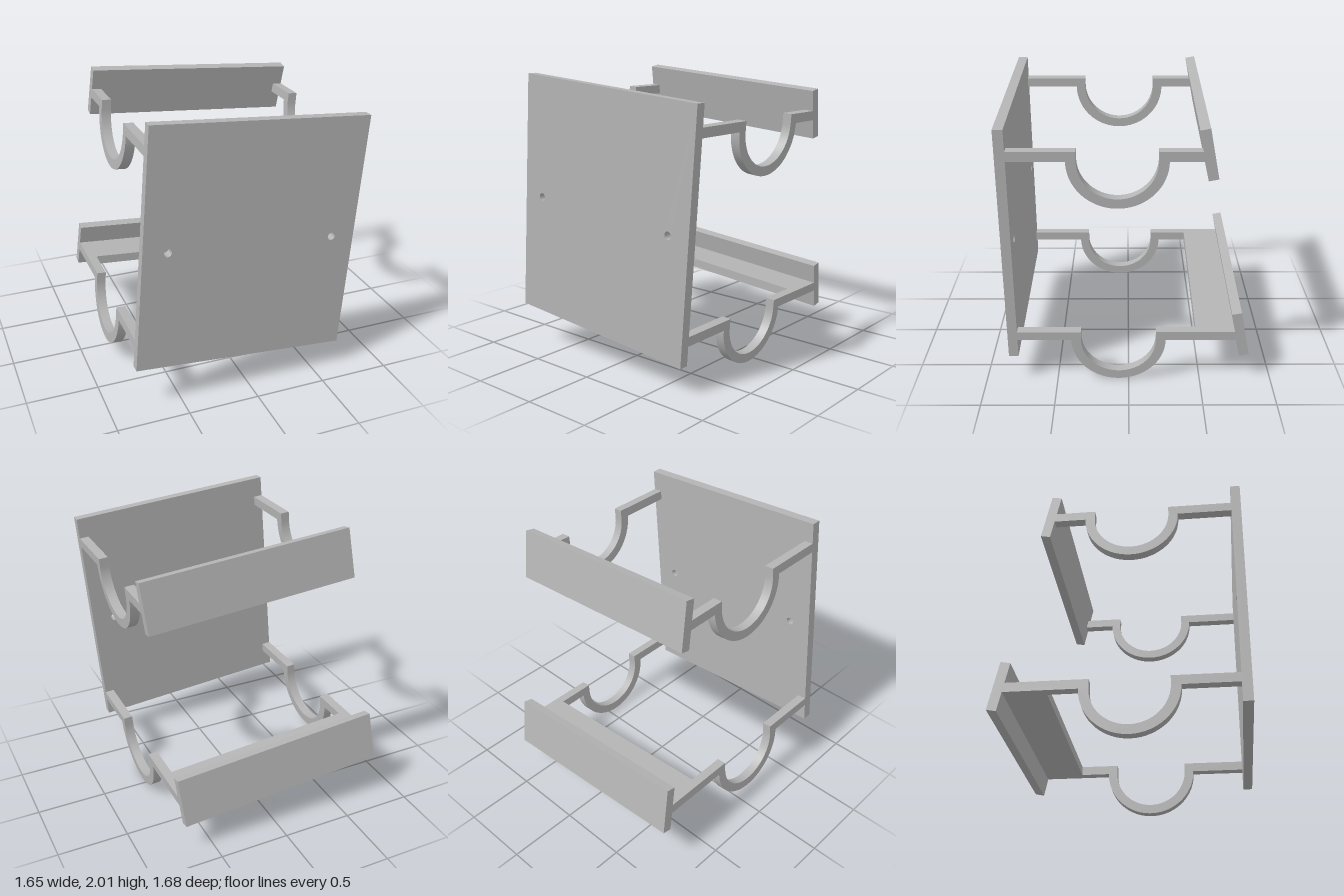
import * as THREE from 'three';
import { toCreasedNormals } from 'three/addons/utils/BufferGeometryUtils.js';

const HALF_W = 0.7525, HALF_H = 0.8475; // front panel half size
const ARM_W = 0.066, ARM_T = 0.066;     // arm width and thickness
const ARC_Z = 0.07, R_IN = 0.26, R_OUT = 0.326;

export function createModel() {
  const grey = new THREE.MeshStandardMaterial({ color: 0xb4b4b4 });
  grey.name = 'plain grey';

  const model = new THREE.Group();
  model.name = 'cradleRack';
  // the whole rack leans a little to one side
  const rack = new THREE.Group();
  rack.name = 'leaningRack';
  rack.position.set(0.005, 1.096, 0);
  rack.rotation.z = -Math.atan2(0.118, 1.5);
  model.add(rack);

  const add = (name, geometry) => {
    const mesh = new THREE.Mesh(geometry, grey);
    mesh.name = name;
    rack.add(mesh);
    return mesh;
  };

  // extrudes a side profile drawn as (z, y) from x0 to x1
  const sideExtrude = (shape, x0, x1) => {
    const g = new THREE.ExtrudeGeometry(shape, { depth: x1 - x0, bevelEnabled: false, curveSegments: 40 });
    g.rotateY(-Math.PI / 2);
    g.translate(x1, 0, 0);
    return toCreasedNormals(g, 0.5);
  };

  // front panel with two screw holes
  const panel = new THREE.Shape([
    new THREE.Vector2(-HALF_W, -HALF_H), new THREE.Vector2(HALF_W, -HALF_H),
    new THREE.Vector2(HALF_W, HALF_H), new THREE.Vector2(-HALF_W, HALF_H),
  ]);
  for (const s of [-1, 1]) {
    panel.holes.push(new THREE.Path().absarc(s * 0.584, 0, 0.027, 0, Math.PI * 2, true));
  }
  const panelGeo = new THREE.ExtrudeGeometry(panel, { depth: 0.067, bevelEnabled: false, curveSegments: 24 });
  panelGeo.translate(0, 0, 0.77);
  add('frontPanel', toCreasedNormals(panelGeo, 0.5));

  // arm profile: straight, half-round cradle, straight
  const armShape = (top, end) => {
    const low = top - ARM_T;
    const s = new THREE.Shape();
    s.moveTo(0.772, top);
    s.lineTo(ARC_Z + R_IN, top);
    s.lineTo(ARC_Z + R_IN, low);
    s.absarc(ARC_Z, low, R_IN, 0, -Math.PI, true);
    s.lineTo(ARC_Z - R_IN, top);
    s.lineTo(end, top);
    s.lineTo(end, low);
    s.lineTo(ARC_Z - R_OUT, low);
    s.absarc(ARC_Z, low, R_OUT, Math.PI, Math.PI * 2, false);
    s.lineTo(0.772, low);
    s.closePath();
    return s;
  };

  // tilted board profile, given by its front top corner
  const boardShape = (z, y) => new THREE.Shape([
    [0, 0], [-0.066, 0.013], [-0.132, -0.329], [-0.066, -0.342],
  ].map(([dz, dy]) => new THREE.Vector2(z + dz, y + dy)));

  const levels = [
    { name: 'upper', top: 0.7, end: -0.49, boardZ: -0.438, boardY: 0.842 },
    { name: 'lower', top: -0.646, end: -0.76, boardZ: -0.707, boardY: -0.504 },
  ];
  for (const { name, top, end, boardZ, boardY } of levels) {
    add(name + 'RightArm', sideExtrude(armShape(top, end), -HALF_W, -HALF_W + ARM_W));
    add(name + 'LeftArm', sideExtrude(armShape(top, end), HALF_W - ARM_W, HALF_W));
    add(name + 'BackBoard', sideExtrude(boardShape(boardZ, boardY), -HALF_W, HALF_W));
  }

  // shelf between the lower arms
  const shelf = add('lowerShelf', new THREE.BoxGeometry(2 * (HALF_W - ARM_W), ARM_T, 0.295));
  shelf.position.set(0, -0.646 - ARM_T / 2, -0.465 - 0.1475);

  return model;
}
